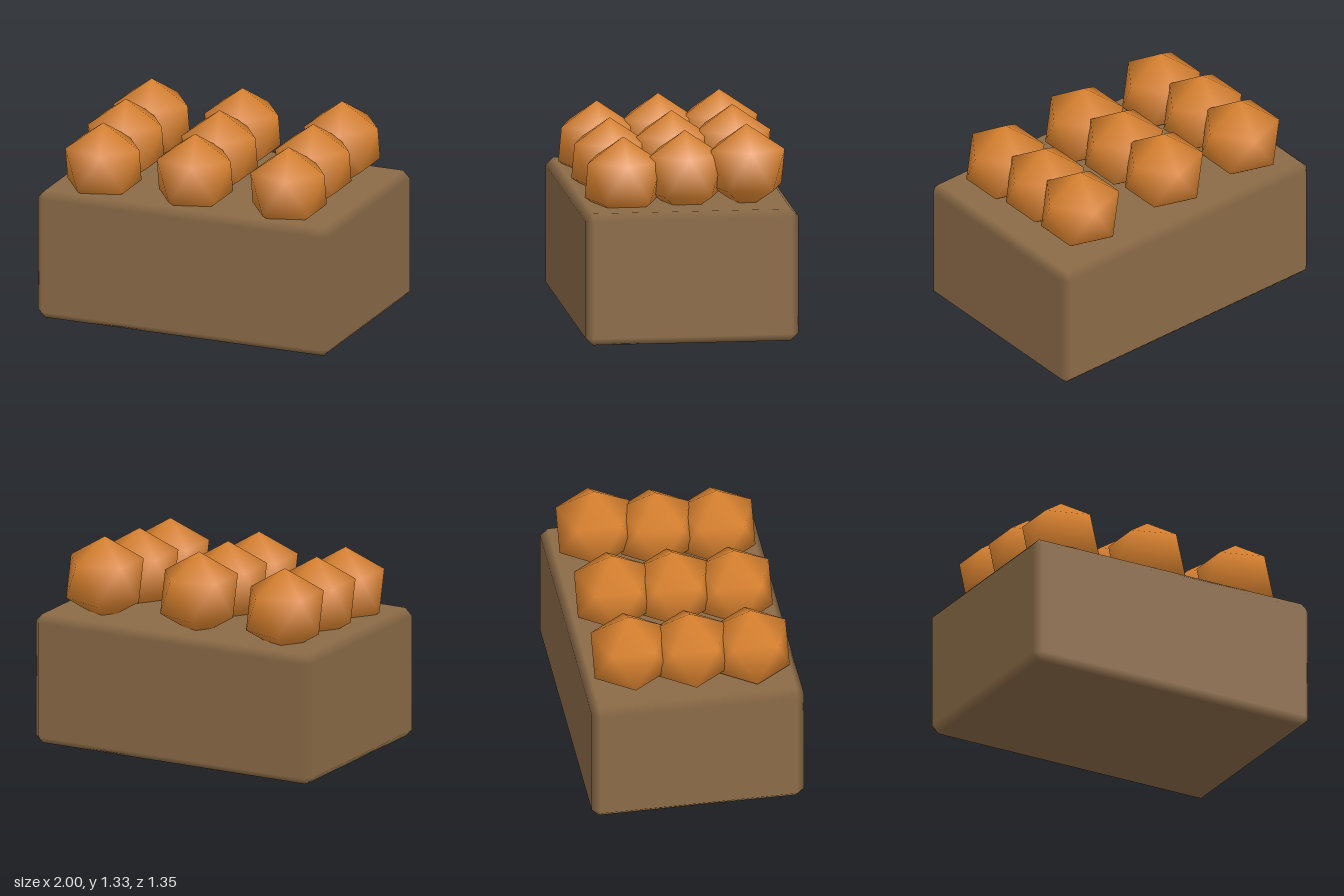
import * as THREE from 'three';
import { ConvexGeometry } from 'three/addons/geometries/ConvexGeometry.js';

// Box with one straight chamfer on every edge; normals stay true on the big
// faces and blend across the chamfers.
function chamferedBox(w, h, d, c) {
  const half = [w / 2, h / 2, d / 2];
  const points = [];
  for (const sx of [-1, 1]) for (const sy of [-1, 1]) for (const sz of [-1, 1]) {
    const s = [sx, sy, sz];
    for (let axis = 0; axis < 3; axis++) {
      points.push(new THREE.Vector3(...s.map((v, i) => v * (half[i] - (i === axis ? 0 : c)))));
    }
  }
  const geo = new ConvexGeometry(points);
  const { position, normal } = geo.attributes;
  for (let i = 0; i < position.count; i++) {
    const n = half.map((e, a) => {
      const v = position.getComponent(i, a);
      return Math.abs(v) > e - c / 2 ? Math.sign(v) : 0;
    });
    normal.setXYZ(i, ...n);
  }
  return geo;
}

// Smooth-shaded icosahedron standing on a vertex
function fruitGeometry(r) {
  const geo = new THREE.IcosahedronGeometry(r, 0);
  geo.rotateZ(-Math.atan(2 / (1 + Math.sqrt(5))));
  const { position, normal } = geo.attributes;
  const v = new THREE.Vector3();
  for (let i = 0; i < position.count; i++) {
    v.fromBufferAttribute(position, i).normalize();
    normal.setXYZ(i, v.x, v.y, v.z);
  }
  return geo;
}

export function createModel() {
  const group = new THREE.Group();
  const wood = new THREE.MeshStandardMaterial({ color: 0x8b6b47 });
  wood.name = 'brown wood';
  const orange = new THREE.MeshStandardMaterial({ color: 0xd9822f });
  orange.name = 'orange';

  // Crate
  const crate = new THREE.Mesh(chamferedBox(2, 0.84, 1.35, 0.048), wood);
  crate.name = 'crate';
  crate.position.y = 0.42;
  group.add(crate);

  // Fruit in three rows, rising toward the back: z, x of each, height of each
  const rows = [
    { z: 0.39, x: [-0.655, -0.03, 0.61], y: [0.98, 0.99, 0.987] },
    { z: 0, x: [-0.67, -0.03, 0.61], y: [1.015, 1.025, 1.02] },
    { z: -0.385, x: [-0.66, -0.04, 0.64], y: [1.033, 1.053, 1.057] },
  ];
  const geo = fruitGeometry(0.274);
  const fruits = new THREE.Group();
  fruits.name = 'fruits';
  for (const row of rows) {
    row.x.forEach((x, i) => {
      const fruit = new THREE.Mesh(geo, orange);
      fruit.name = 'fruit';
      fruit.position.set(x, row.y[i], row.z);
      fruits.add(fruit);
    });
  }
  group.add(fruits);
  return group;
}
